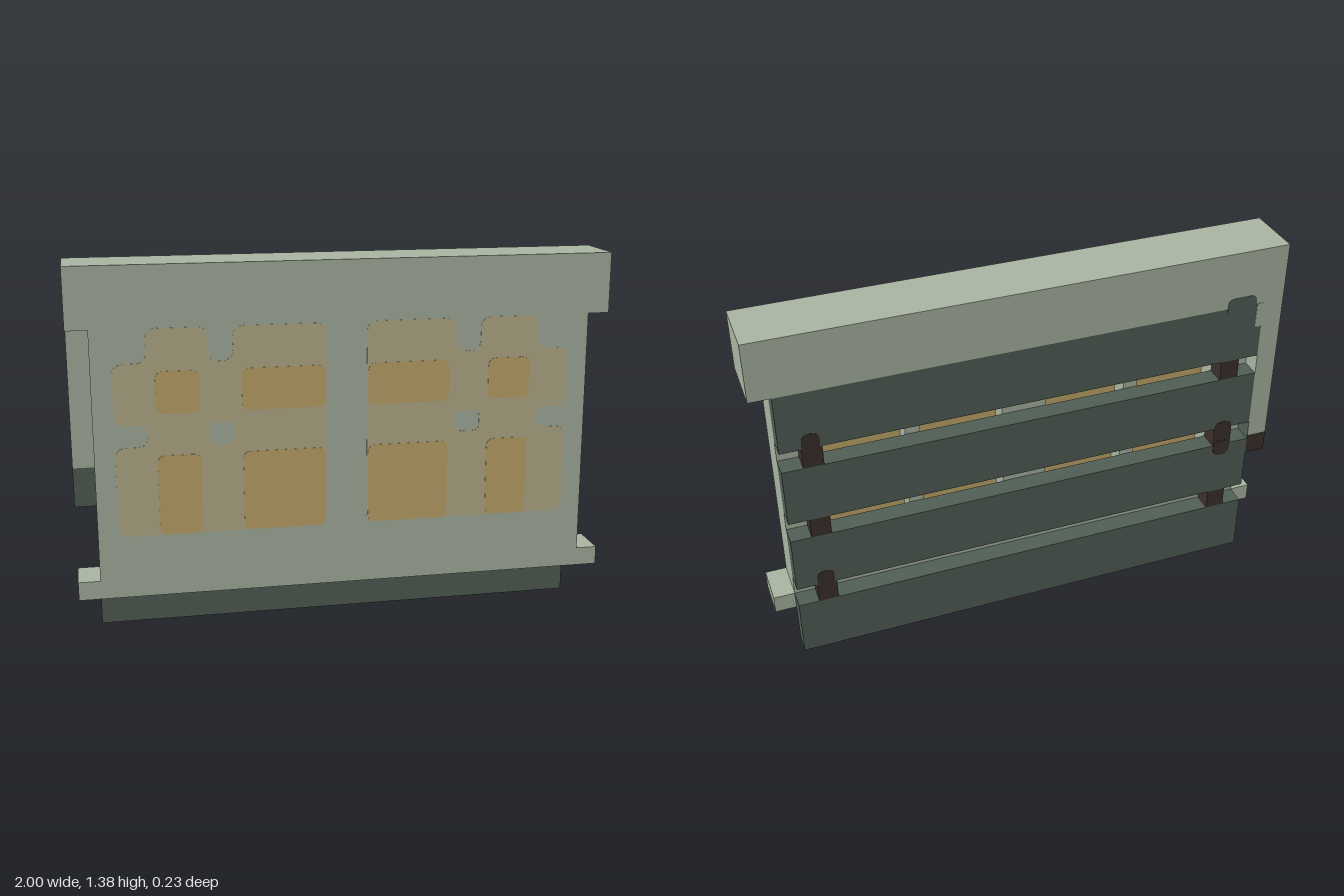
import * as THREE from 'three';

const mat = (name, color) => {
  const m = new THREE.MeshStandardMaterial({ color });
  m.name = name;
  return m;
};

// Closed outline with rounded corners
function trace(path, pts, r) {
  const n = pts.length;
  const toward = (a, b) => a.clone().add(b.clone().sub(a).setLength(Math.min(r, a.distanceTo(b) / 2)));
  const v = pts.map(([x, y]) => new THREE.Vector2(x, y));
  for (let i = 0; i < n; i++) {
    const c = v[i], p = toward(c, v[(i + n - 1) % n]), q = toward(c, v[(i + 1) % n]);
    if (i === 0) path.moveTo(p.x, p.y); else path.lineTo(p.x, p.y);
    path.quadraticCurveTo(c.x, c.y, q.x, q.y);
  }
  path.closePath();
  return path;
}
const rect = (x0, x1, y0, y1) => [[x0, y0], [x1, y0], [x1, y1], [x0, y1]];

export function createModel() {
  const group = new THREE.Group();
  const pale = mat('paleGreen', 0xa9b4a1);
  const dark = mat('darkGreen', 0x505e55);
  const brown = mat('darkBrown', 0x3b302a);
  const haze = mat('windowGlow', 0xb8b08b);
  const amber = mat('amberGlass', 0xc2a86b);

  const add = (name, geo, material) => {
    const mesh = new THREE.Mesh(geo, material);
    mesh.name = name;
    group.add(mesh);
    return mesh;
  };
  const box = (name, x0, x1, y0, y1, z0, z1, material) => {
    const mesh = add(name, new THREE.BoxGeometry(x1 - x0, y1 - y0, z1 - z0), material);
    mesh.position.set((x0 + x1) / 2, (y0 + y1) / 2, (z0 + z1) / 2);
    return mesh;
  };
  const plate = (name, shape, z, material, back = false) => {
    const mesh = add(name, new THREE.ExtrudeGeometry(shape, { depth: 0.0015, bevelEnabled: false, curveSegments: 5 }), material);
    mesh.position.z = back ? z - 0.0015 : z;
    return mesh;
  };

  const BACK = -0.115, MID = -0.04, FRONT = 0.115, RECESS = 0.04;

  // Lintel, sill and front slab
  box('lintel', -1, 1, 1.16, 1.385, BACK, FRONT, pale);
  box('frontPanel', -0.92, 0.92, 0.16, 1.16, RECESS, FRONT, pale);
  for (const s of [-1, 1]) {
    const a = s * 0.92, b = s;
    box('sillEnd', Math.min(a, b), Math.max(a, b), 0.16, 0.23, MID, FRONT, pale);
  }

  // Rear frame with four recessed windows
  const frame = new THREE.Shape(rect(-0.92, 0.92, 0.16, 1.16).map(p => new THREE.Vector2(...p)));
  for (const [x0, x1] of [[-0.77, -0.455], [-0.4, -0.085], [0.085, 0.4], [0.455, 0.77]]) {
    const pts = rect(x0, x1, 0.39, 1.1);
    frame.holes.push(new THREE.Path(pts.map(p => new THREE.Vector2(...p))));
    box('rearGlass', x0, x1, 0.39, 1.1, RECESS - 0.003, RECESS + 0.003, amber);
  }
  const frameMesh = add('rearFrame', new THREE.ExtrudeGeometry(frame, { depth: RECESS - MID, bevelEnabled: false }), pale);
  frameMesh.position.z = MID;

  // Rear slats
  for (let i = 0; i < 4; i++) box('slat', -0.92, 0.92, i * 0.31, i * 0.31 + 0.23, BACK, MID, dark);

  // Straps between slats
  for (let i = 0; i < 3; i++) {
    for (const s of [-1, 1]) {
      const c = s * 0.805;
      box('strap', c - 0.037, c + 0.037, 0.23 + i * 0.31, 0.31 + i * 0.31, BACK, MID, brown);
    }
  }

  // Stains around some straps and at the upper corner
  const stain = (name, x0, x1, y0, y1, m, r = 0.03) =>
    plate(name, trace(new THREE.Shape(), rect(x0, x1, y0, y1), r), BACK, m, true);
  stain('strapStain', 0.775, 0.84, 0.915, 0.99, brown);
  stain('strapStain', 0.775, 0.84, 0.295, 0.37, brown);
  stain('strapStain', -0.84, -0.77, 0.49, 0.56, brown);
  stain('strapStain', -0.84, -0.77, 0.60, 0.65, brown);
  stain('cornerStain', -0.89, -0.77, 1.13, 1.2, dark);
  stain('cornerPatch', -0.92, -0.893, 1.06, 1.16, pale, 0.01);

  // Hanging post on the right side, with a weathered tip
  box('post', -1, -0.92, 0.62, 1.16, BACK, MID, pale);
  box('postTipUpper', -1, -0.92, 0.555, 0.62, BACK, MID, [dark, dark, pale, brown, dark, pale]);
  box('postTipLower', -1, -0.92, 0.47, 0.555, BACK, MID, [dark, dark, dark, brown, dark, brown]);

  // Front window glow and glass, mirrored on both sides
  for (const s of [-1, 1]) {
    const flip = pts => pts.map(([x, y]) => [s * x, y]);
    const glow = trace(new THREE.Shape(), flip([
      [0.075, 0.395], [0.845, 0.395], [0.845, 0.73], [0.725, 0.73], [0.725, 0.81], [0.845, 0.81],
      [0.845, 1.035], [0.725, 1.035], [0.725, 1.16], [0.505, 1.16], [0.505, 1.035],
      [0.415, 1.035], [0.415, 1.16], [0.075, 1.16],
    ]), 0.04);
    glow.holes.push(trace(new THREE.Path(), flip(rect(0.415, 0.505, 0.73, 0.81)), 0.025));
    plate('windowGlow', glow, FRONT, haze);
    for (const [x0, x1] of [[0.08, 0.385], [0.537, 0.695]])
      for (const [y0, y1] of [[0.395, 0.695], [0.85, 1.005]])
        plate('windowGlass', trace(new THREE.Shape(), flip(rect(x0, x1, y0, y1)), 0.03), FRONT + 0.0015, amber);
  }
  return group;
}
